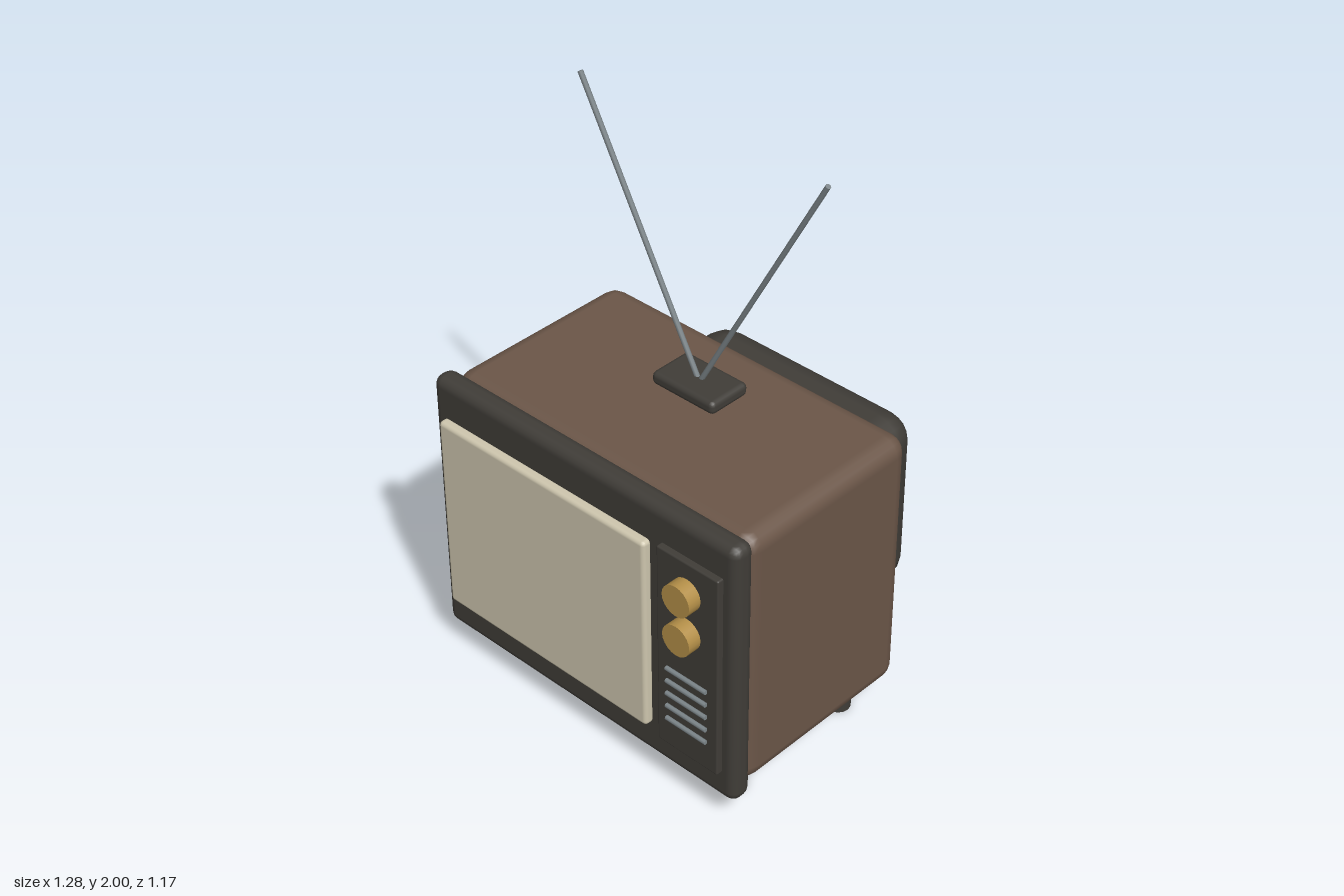
import * as THREE from 'three';
import { RoundedBoxGeometry } from 'three/addons/geometries/RoundedBoxGeometry.js';

const material = (name, color) => {
  const m = new THREE.MeshStandardMaterial({ color });
  m.name = name;
  return m;
};

export function createModel() {
  const brown = material('brown cabinet', 0x6b5648);
  const dark = material('dark plastic', 0x403d38);
  const cream = material('cream glass', 0xcec6ae);
  const gold = material('gold', 0xb48f48);
  const metal = material('grey metal', 0x7c8589);

  const tv = new THREE.Group();
  tv.name = 'television';

  const add = (name, geometry, mat, x = 0, y = 0, z = 0) => {
    const mesh = new THREE.Mesh(geometry, mat);
    mesh.name = name;
    mesh.position.set(x, y, z);
    tv.add(mesh);
    return mesh;
  };

  // Rounded box given by its limits on each axis
  const box = (name, mat, [x0, x1], [y0, y1], [z0, z1], radius) =>
    add(name, new RoundedBoxGeometry(x1 - x0, y1 - y0, z1 - z0, 2, radius), mat,
      (x0 + x1) / 2, (y0 + y1) / 2, (z0 + z1) / 2);

  // Cabinet, tube housing and front frame
  box('cabinet', brown, [-0.625, 0.625], [0.12, 1.075], [-0.274, 0.448], 0.06);
  box('tubeHousing', dark, [-0.425, 0.425], [0.235, 0.89], [-0.586, -0.23], 0.1);
  box('frontFrame', dark, [-0.64, 0.64], [0.105, 1.09], [0.432, 0.515], 0.035);

  // Screen and control panel
  box('screen', cream, [-0.587, 0.3], [0.235, 0.955], [0.505, 0.545], 0.015);
  box('controlPanel', dark, [0.344, 0.59], [0.216, 0.972], [0.5, 0.537], 0.006);

  // Tuning knobs
  for (const y of [0.86, 0.71]) {
    const geometry = new THREE.CylinderGeometry(0.055, 0.055, 0.06, 20);
    add('knob', geometry, gold, 0.467, y, 0.555).rotation.x = Math.PI / 2;
  }

  // Speaker bars
  for (let i = 0; i < 5; i++) {
    const geometry = new THREE.CylinderGeometry(0.008, 0.008, 0.163, 8);
    add('speakerBar', geometry, metal, 0.467, 0.53 - i * 0.05, 0.542).rotation.z = Math.PI / 2;
  }

  // Legs
  for (const x of [-0.495, 0.495]) {
    for (const z of [-0.14, 0.355]) {
      add('leg', new THREE.CylinderGeometry(0.043, 0.043, 0.14, 16), dark, x, 0.07, z);
    }
  }

  // Antenna base and its two rods
  box('antennaBase', dark, [-0.13, 0.13], [1.073, 1.12], [-0.094, 0.068], 0.018);
  for (const side of [-1, 1]) {
    const start = new THREE.Vector3(0, 1.1, -0.013);
    const end = new THREE.Vector3(side * 0.486, 1.995, -0.013);
    const direction = end.clone().sub(start);
    const rod = add('antennaRod', new THREE.CylinderGeometry(0.009, 0.009, direction.length(), 8), metal);
    rod.position.copy(start).add(end).multiplyScalar(0.5);
    rod.quaternion.setFromUnitVectors(new THREE.Vector3(0, 1, 0), direction.normalize());
  }

  return tv;
}
